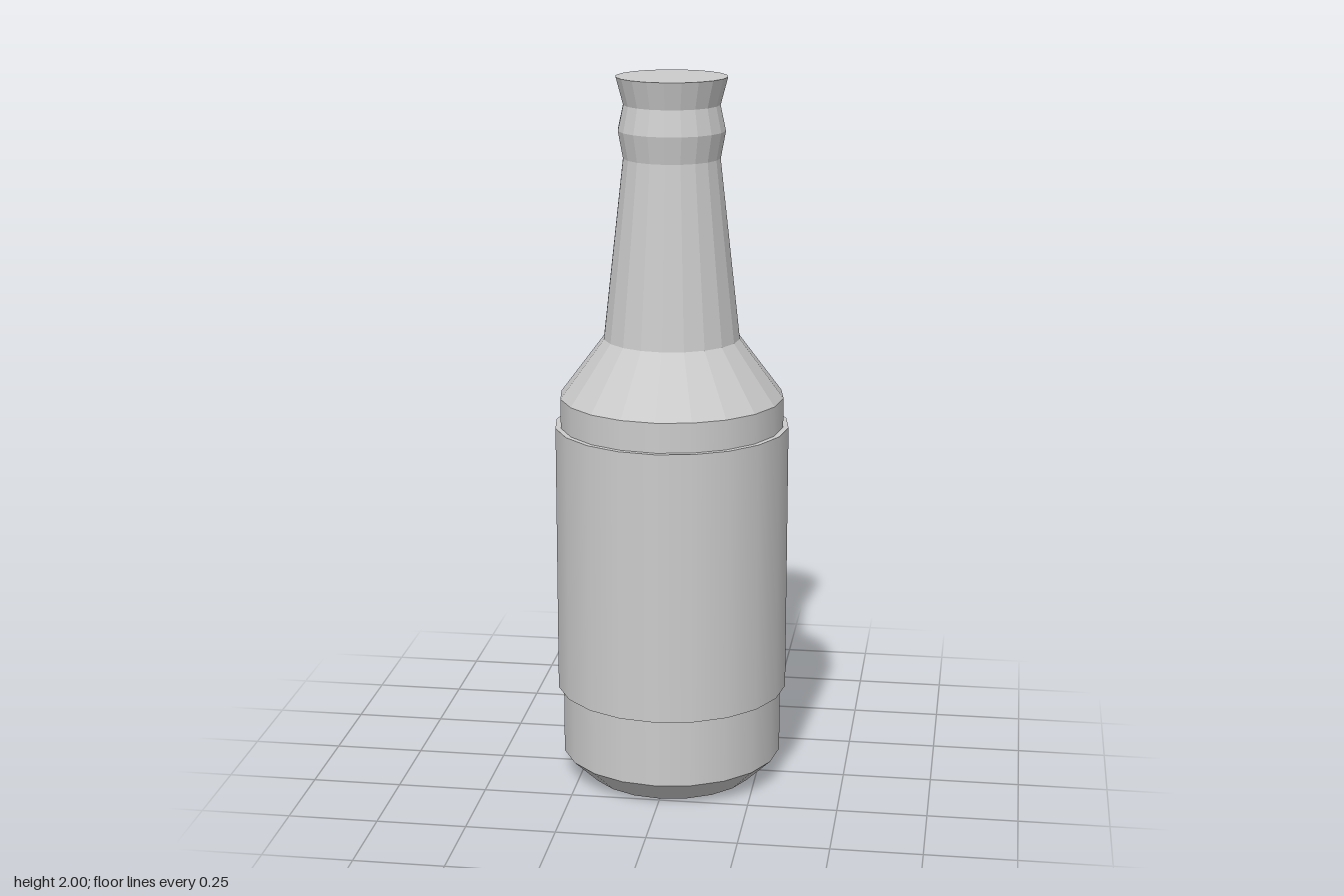
import * as THREE from 'three';

const SIDES = 20;
const smooth = new THREE.MeshStandardMaterial({ color: 0xcccccc });
const faceted = new THREE.MeshStandardMaterial({ color: 0xcccccc, flatShading: true });

// One ring of faces per profile segment, so the edges between rings stay sharp.
// Profiles run from the bottom centre, up the outside, to the top.
function turned(name, profile) {
  const group = new THREE.Group();
  group.name = name;
  for (let i = 0; i < profile.length - 1; i++) {
    const [a, b] = [profile[i], profile[i + 1]];
    const geometry = new THREE.LatheGeometry(
      [new THREE.Vector2(...a), new THREE.Vector2(...b)], SIDES);
    const mesh = new THREE.Mesh(geometry, a[0] === b[0] ? smooth : faceted);
    mesh.name = `${name}Ring${i + 1}`;
    group.add(mesh);
  }
  return group;
}

export function createModel() {
  const bottle = new THREE.Group();
  bottle.name = 'bottle';

  // Recessed underside, chamfered foot and straight wall
  bottle.add(turned('body', [
    [0, 0.03], [0.205, 0.03], [0.24, 0], [0.313, 0.07], [0.313, 1.115],
  ]));

  // Sloping shoulder and tapering neck
  bottle.add(turned('shoulder', [[0.313, 1.115], [0.19, 1.28]]));
  bottle.add(turned('neck', [[0.19, 1.28], [0.134, 1.78]]));

  // Ridged collar, flared lip and flat top
  bottle.add(turned('lip', [
    [0.134, 1.78], [0.148, 1.855], [0.133, 1.925], [0.153, 2], [0, 2],
  ]));

  // Raised band around the body
  bottle.add(turned('labelBand', [
    [0.313, 0.265], [0.328, 0.265], [0.328, 1.032], [0.313, 1.032],
  ]));

  return bottle;
}
